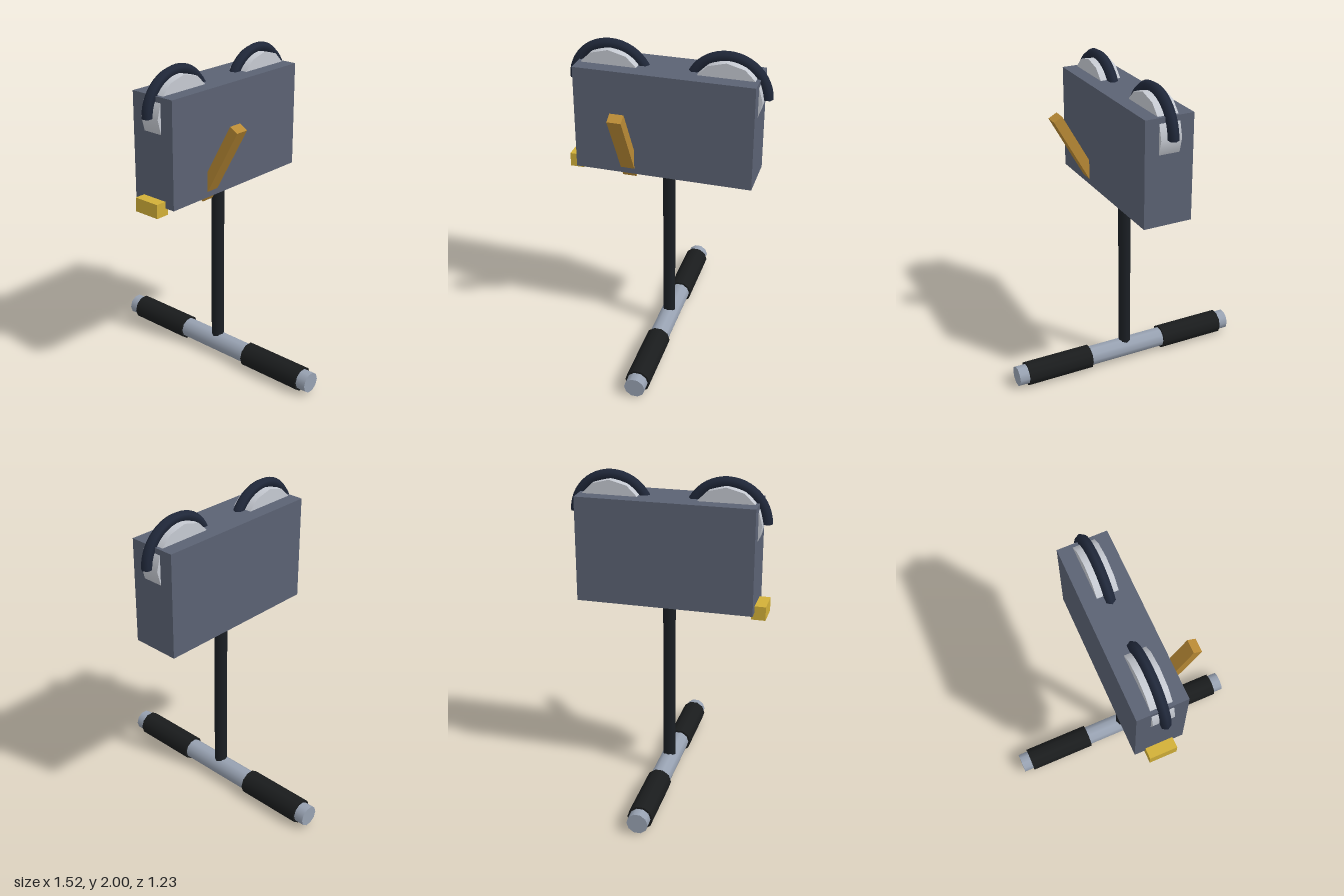
import * as THREE from 'three';

const material = (color) => new THREE.MeshStandardMaterial({ color });

export function createModel() {
  const model = new THREE.Group();
  const steel = material(0x98a2b2);
  const pale = material(0xc6cad2);
  const black = material(0x1b1f24);
  const rubber = material(0x1a1c1d);
  const navy = material(0x20283a);
  const slate = material(0x5b6273);
  const brass = material(0xb98a35);
  const yellow = material(0xd2b038);
  navy.side = THREE.DoubleSide;

  const add = (name, geometry, mat, x, y, z) => {
    const mesh = new THREE.Mesh(geometry, mat);
    mesh.name = name;
    mesh.position.set(x, y, z);
    model.add(mesh);
    return mesh;
  };
  // Cylinder lying along x
  const crossCylinder = (radius, length, sides) =>
    new THREE.CylinderGeometry(radius, radius, length, sides).rotateZ(Math.PI / 2);

  // Pulley housing
  add('housing', new THREE.BoxGeometry(0.305, 0.65, 1.085), slate, 0, 1.535, 0);

  // Wheels and the half loops of cable over them, front and back
  for (const [side, z] of [['front', 0.351], ['back', -0.351]]) {
    add(side + 'Wheel', crossCylinder(0.216, 0.13, 12), pale, 0, 1.735, z);
    const loop = new THREE.TorusGeometry(0.234, 0.032, 6, 24, Math.PI).rotateY(Math.PI / 2);
    add(side + 'CableLoop', loop, navy, 0, 1.735, z);
  }

  // Hanging cable
  add('hangingCable', new THREE.CylinderGeometry(0.04, 0.04, 1.15, 8), black, 0, 0.65, 0);

  // Handle bar with two grips
  add('handleBar', crossCylinder(0.065, 1.52, 10), steel, 0, 0.075, 0);
  for (const [side, s] of [['left', 1], ['right', -1]]) {
    add(side + 'Grip', crossCylinder(0.078, 0.435, 10), rubber, s * 0.478, 0.075, 0);
  }

  // Slanted lever on the left side
  const lever = add('lever', new THREE.BoxGeometry(0.061, 0.546, 0.085), brass, 0.218, 1.426, 0.217);
  lever.rotation.z = -0.505;

  // Catch block at the lower front edge
  add('catchBlock', new THREE.BoxGeometry(0.172, 0.086, 0.086), yellow, 0, 1.208, 0.567);

  return model;
}
